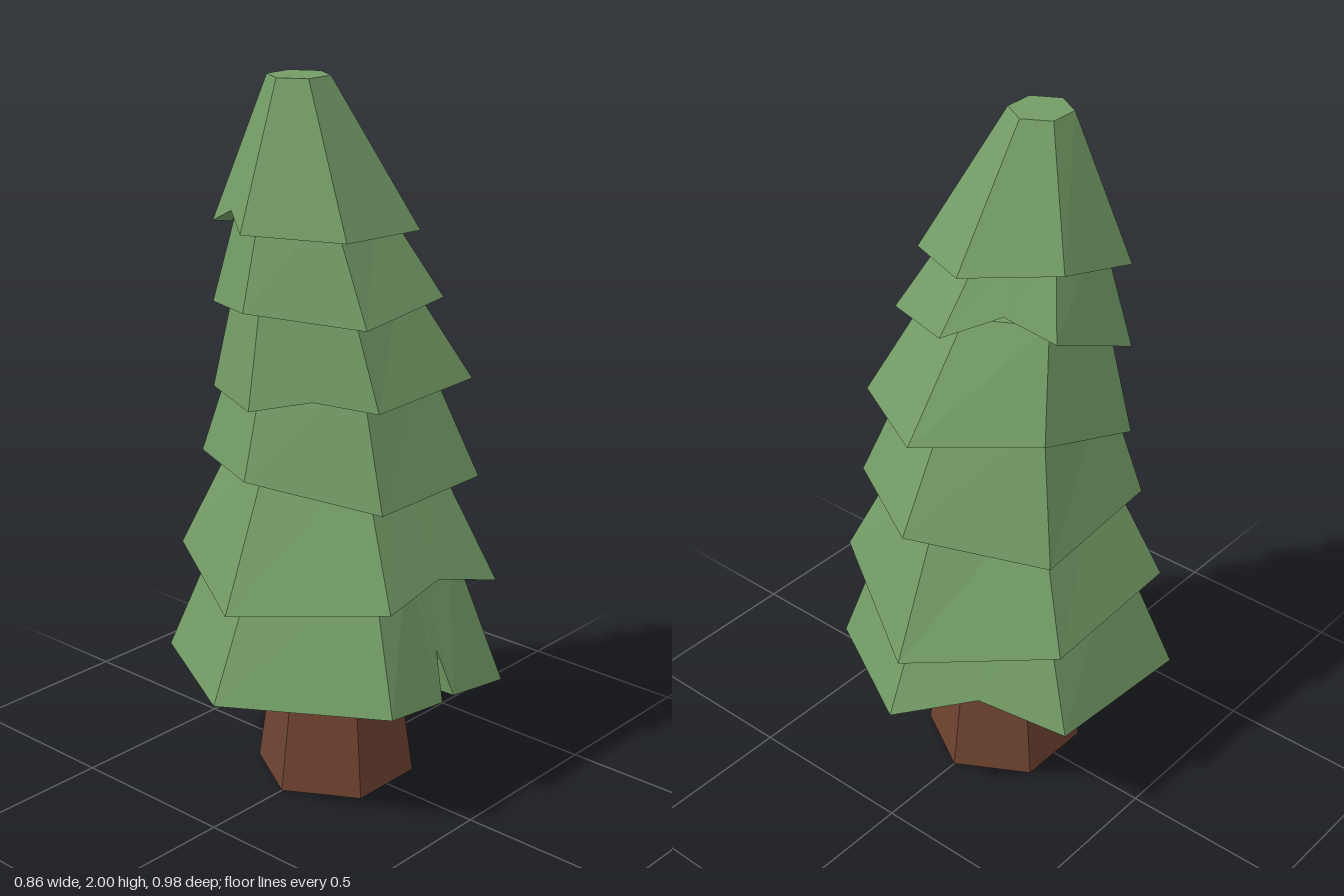
import * as THREE from 'three';

const foliage = new THREE.MeshStandardMaterial({ color: 0x739c66, flatShading: true });
const bark = new THREE.MeshStandardMaterial({ color: 0x6e4230, flatShading: true });

// Each tier: top ring [y, x, z, radius], six hem corners [x, y, z] starting at the
// front and going round by +x, and extra hem points [position along the hem, y].
const tiers = [
  { top: [0.74, 0, 0, 0.32],
    hem: [[0, 0.365, 0.49], [0.425, 0.375, 0.25], [0.41, 0.31, -0.245], [0, 0.365, -0.49], [-0.43, 0.37, -0.25], [-0.43, 0.33, 0.24]],
    extra: [[1.44, 0.345], [1.5, 0.475], [1.55, 0.345], [3.5, 0.435]] },
  { top: [1.02, -0.01, 0, 0.26],
    hem: [[0, 0.61, 0.44], [0.39, 0.655, 0.22], [0.4, 0.62, -0.22], [0, 0.525, -0.45], [-0.4, 0.62, -0.24], [-0.4, 0.65, 0.21]],
    extra: [[1.5, 0.685]] },
  { top: [1.26, -0.02, 0, 0.26],
    hem: [[0, 0.97, 0.36], [0.325, 0.905, 0.18], [0.33, 0.91, -0.22], [0, 0.93, -0.415], [-0.345, 0.88, -0.22], [-0.35, 0.93, 0.17]],
    extra: [] },
  { top: [1.5, -0.02, 0.04, 0.22],
    hem: [[-0.01, 0.0, 0.33], [0.29, 1.17, 0.155], [0.3, 1.185, -0.22], [0, 1.2, -0.385], [-0.29, 1.22, -0.18], [-0.32, 1.12, 0.15]],
    extra: [[0.5, 1.19]] },
  { top: [1.7, -0.04, 0.06, 0.18],
    hem: [[-0.02, 1.42, 0.335], [0.26, 1.39, 0.17], [0.26, 1.42, -0.14], [-0.015, 1.48, -0.27], [-0.275, 1.49, -0.12], [-0.3, 1.37, 0.165]],
    extra: [[3.5, 1.54]] },
  { top: [2, -0.055, 0.08, 0.085],
    hem: [[-0.04, 1.62, 0.32], [0.2, 1.61, 0.18], [0.21, 1.6, -0.1], [-0.035, 1.64, -0.225], [-0.265, 1.665, -0.08], [-0.28, 1.6, 0.18]],
    extra: [[5.5, 1.655]] },
];
tiers[3].hem[0][1] = 1.155;

// Hollow six-sided skirt: recessed ceiling, inner wall, rim, outer slope and cap
function tierGeometry({ top, hem, extra }) {
  const [ty, tx, tz, tr] = top;
  const hemPts = hem.map((p) => new THREE.Vector3(...p));
  const topPts = hem.map((_, i) => new THREE.Vector3(
    tx + tr * Math.sin(i * Math.PI / 3), ty, tz + tr * Math.cos(i * Math.PI / 3)));
  const along = (pts, s) => pts[Math.floor(s) % 6].clone().lerp(pts[(Math.floor(s) + 1) % 6], s % 1);
  const centre = hemPts.reduce((a, p) => a.add(p), new THREE.Vector3()).divideScalar(6);
  const topCentre = new THREE.Vector3(tx, ty, tz);
  const ceilCentre = centre.clone().lerp(topCentre, 0.4);
  const inset = (p, c) => new THREE.Vector3(c.x + (p.x - c.x) * 0.82, p.y, c.z + (p.z - c.z) * 0.82);

  const stations = [0, 1, 2, 3, 4, 5].map((s) => [s, null]).concat(extra).sort((a, b) => a[0] - b[0]);
  const rings = [[], [], [], []];
  for (const [s, y] of stations) {
    const base = along(hemPts, s), up = along(topPts, s);
    // raised hem points slide up the slope
    const rim = y === null ? base.clone() : base.clone().lerp(up, (y - base.y) / (up.y - base.y));
    const ceil = inset(base.clone().lerp(up, 0.4), ceilCentre);
    ceil.y = ceilCentre.y;
    rings[0].push(ceil);
    rings[1].push(inset(rim, centre));
    rings[2].push(rim);
    rings[3].push(up);
  }
  const tris = [];
  const n = stations.length;
  for (let i = 0; i < n; i++) {
    const j = (i + 1) % n;
    for (let k = 0; k < 3; k++) {
      const a = rings[k], b = rings[k + 1];
      tris.push(a[i], a[j], b[j], a[i], b[j], b[i]);
    }
    tris.push(rings[3][i], rings[3][j], topCentre, rings[0][j], rings[0][i], ceilCentre);
  }
  const geo = new THREE.BufferGeometry().setFromPoints(tris);
  geo.computeVertexNormals();
  return geo;
}

export function createModel() {
  const tree = new THREE.Group();
  tree.name = 'pineTree';

  // Tapered hexagonal trunk
  const trunk = new THREE.Mesh(new THREE.CylinderGeometry(0.15, 0.228, 0.56, 6), bark);
  trunk.name = 'trunk';
  trunk.position.y = 0.28;
  tree.add(trunk);

  // Foliage tiers, bottom to top
  tiers.forEach((tier, i) => {
    const mesh = new THREE.Mesh(tierGeometry(tier), foliage);
    mesh.name = `foliageTier${i + 1}`;
    tree.add(mesh);
  });
  return tree;
}
